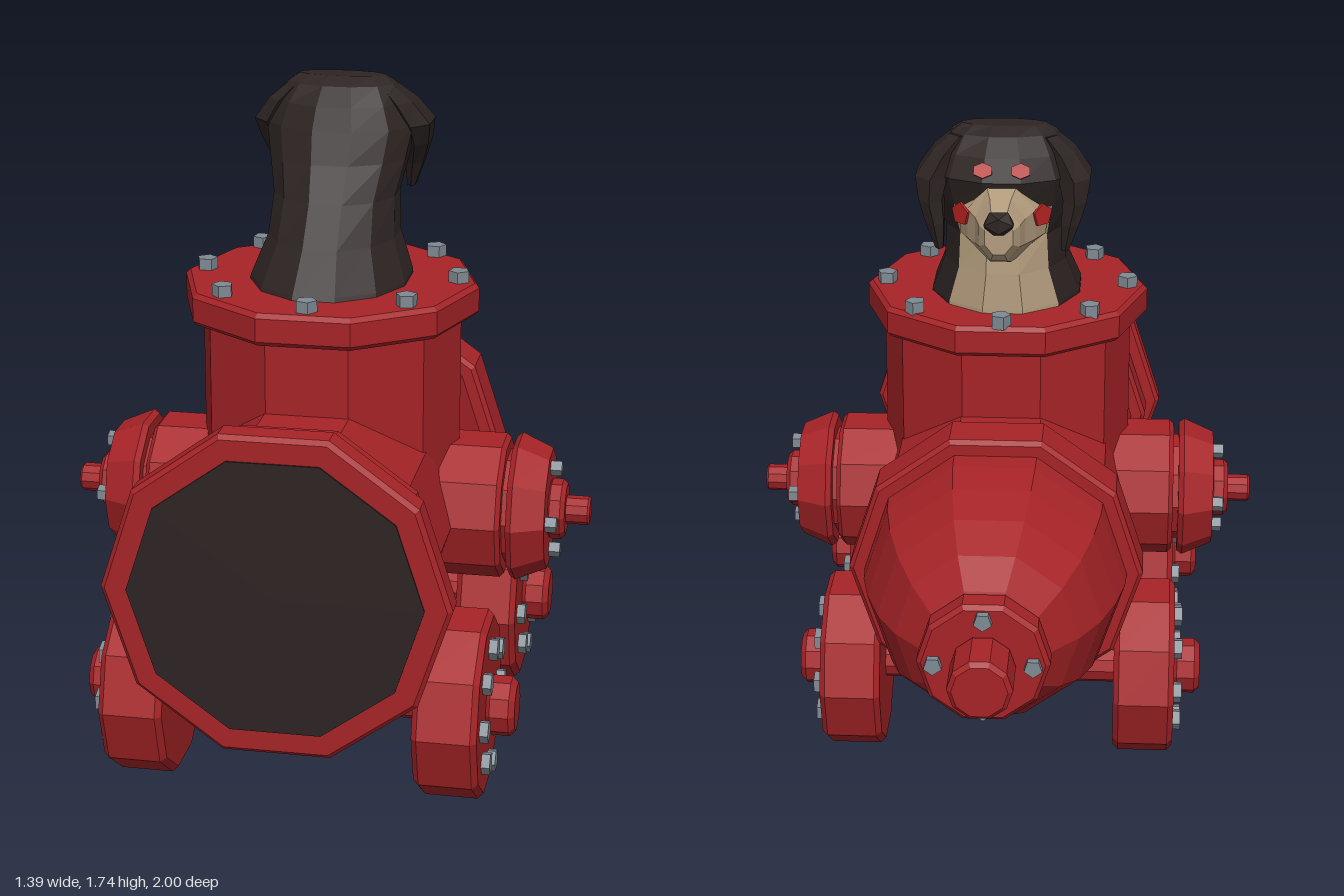
import * as THREE from 'three';

const mat = (name, color) => {
  const m = new THREE.MeshStandardMaterial({ color });
  m.name = name;
  return m;
};

export function createModel() {
  const red = mat('hydrant red', 0xa62327);
  const dark = mat('dark brown', 0x2d2423);
  const cream = mat('cream fur', 0xb39c7d);
  const steel = mat('bolt grey', 0x7f8a92);
  const spot = mat('spot red', 0xb52222);
  const model = new THREE.Group();

  const flat = (geo) => {
    const g = geo.index ? geo.toNonIndexed() : geo;
    g.computeVertexNormals();
    return g;
  };
  const add = (parent, name, geo, material) => {
    const mesh = new THREE.Mesh(flat(geo), material);
    mesh.name = name;
    parent.add(mesh);
    return mesh;
  };

  // Ten-sided turned part; profile is [radius, position along axis]
  const turned = (profile, axis, sides = 10) => {
    const pts = profile.map(([r, t]) => new THREE.Vector2(r, t));
    const g = new THREE.LatheGeometry(pts, sides, axis === 'x' ? 0 : Math.PI / 2);
    if (axis === 'x') g.rotateZ(-Math.PI / 2);
    if (axis === 'z') g.rotateX(Math.PI / 2);
    return g;
  };
  // Closed disc with bevelled rims
  const disc = (r, a, b, bevel = 0.012) =>
    [[0, a], [r - bevel, a], [r, a + bevel], [r, b - bevel], [r - bevel, b], [0, b]];

  // Circle of bolts around an axis, starting at position t
  const bolts = (parent, axis, count, radius, t, size, height, cy = 0, cz = 0) => {
    for (let i = 0; i < count; i++) {
      const a = (i / count) * Math.PI * 2;
      const u = Math.cos(a) * radius, v = Math.sin(a) * radius;
      const g = new THREE.CylinderGeometry(size, size, height, 5);
      if (axis === 'x') g.rotateZ(Math.PI / 2).translate(t, cy + v, cz + u);
      if (axis === 'y') g.rotateY(a).translate(u, t, cz + v);
      if (axis === 'z') g.rotateX(Math.PI / 2).translate(u, cy + v, t);
      add(parent, 'bolt', g, steel);
    }
  };

  // Barrel lying along z
  const barrel = new THREE.Group();
  barrel.name = 'barrel';
  barrel.position.y = 0.63;
  model.add(barrel);
  add(barrel, 'barrelBody', turned([[0.351, -0.3], [0.351, 0.85]], 'z'), red);
  add(barrel, 'frontFlange', turned(disc(0.437, 0.91, 0.995), 'z'), red);
  add(barrel, 'frontCollar', turned(disc(0.395, 0.79, 0.915), 'z'), red);
  add(barrel, 'rearFlange', turned(disc(0.394, -0.325, -0.18), 'z'), red);
  add(barrel, 'dome', turned([[0.13, -0.79], [0.17, -0.775], [0.235, -0.7], [0.29, -0.6],
    [0.327, -0.49], [0.347, -0.39], [0.352, -0.31]], 'z'), red);
  add(barrel, 'domeCap', turned(disc(0.168, -0.855, -0.775), 'z'), red);
  add(barrel, 'tip', turned(disc(0.082, -1, -0.85), 'z'), red);
  bolts(barrel, 'z', 4, 0.125, -0.86, 0.024, 0.03);
  add(barrel, 'mouth', turned([[0.37, 0.99], [0.37, 1], [0, 1]], 'z'), dark);

  // Upright neck with bolted rim
  const neck = new THREE.Group();
  neck.name = 'neck';
  neck.position.z = 0.268;
  model.add(neck);
  add(neck, 'neckPipe', turned([[0.344, 0.65], [0.344, 1.17]], 'y'), red);
  add(neck, 'neckRim', turned(disc(0.39, 1.155, 1.24), 'y'), red);
  bolts(neck, 'y', 8, 0.335, 1.252, 0.028, 0.036, 0, -0.012);

  for (const side of [1, -1]) {
    const label = side > 0 ? 'left' : 'right';
    // Side outlet
    const outlet = new THREE.Group();
    outlet.name = label + 'Outlet';
    outlet.position.set(0, 0.63, 0.26);
    outlet.rotation.y = side > 0 ? 0 : Math.PI;
    model.add(outlet);
    add(outlet, 'outletPipe', turned(disc(0.192, 0.2, 0.475), 'x'), red);
    add(outlet, 'outletCap', turned([[0.15, 0.47], [0.15, 0.49], [0.185, 0.49], [0.196, 0.505],
      [0.16, 0.588], [0, 0.588]], 'x'), red);
    add(outlet, 'outletBoss', turned(disc(0.08, 0.58, 0.632), 'x'), red);
    add(outlet, 'outletNut', turned(disc(0.038, 0.625, 0.695, 0.006), 'x'), red);
    bolts(outlet, 'x', 4, 0.115, 0.6, 0.022, 0.035);

    // Wheels
    for (const z of [0.655, -0.09]) {
      const wheel = new THREE.Group();
      wheel.name = label + (z > 0 ? 'FrontWheel' : 'RearWheel');
      wheel.position.set(0, 0.236, z);
      wheel.rotation.y = side > 0 ? 0 : Math.PI;
      model.add(wheel);
      add(wheel, 'tyre', turned(disc(0.244, 0.32, 0.485, 0.015), 'x'), red);
      add(wheel, 'hub', turned(disc(0.077, 0.48, 0.558, 0.015), 'x'), red);
      bolts(wheel, 'x', 8, 0.156, 0.492, 0.03, 0.03);
    }
  }
  for (const z of [0.655, -0.09]) {
    add(model, 'axle', turned([[0.052, -0.34], [0.052, 0.34]], 'x').translate(0, 0.236, z), red);
  }

  // Loft of ellipses stacked along y: [y, centreX, halfWidth, zFront, zBack]
  const loft = (rings, n, pick = () => 0) => {
    const point = (i, j) => {
      const [y, cx, rx, z0, z1] = rings[i];
      const a = ((j + 0.5) / n) * Math.PI * 2;
      return [cx + rx * Math.cos(a), y, (z0 + z1) / 2 + ((z1 - z0) / 2) * Math.sin(a)];
    };
    const lists = [[], []];
    const top = rings.length - 1;
    const centre = (i) => [rings[i][1], rings[i][0], (rings[i][3] + rings[i][4]) / 2];
    for (let j = 0; j < n; j++) {
      for (let i = 0; i < top; i++) {
        lists[pick(i, j)].push(...point(i, j), ...point(i + 1, j), ...point(i, j + 1),
          ...point(i, j + 1), ...point(i + 1, j), ...point(i + 1, j + 1));
      }
      lists[0].push(...centre(top), ...point(top, j + 1), ...point(top, j));
      lists[0].push(...centre(0), ...point(0, j), ...point(0, j + 1));
    }
    const g = new THREE.BufferGeometry();
    g.setAttribute('position', new THREE.Float32BufferAttribute(lists.flat(), 3));
    g.addGroup(0, lists[0].length / 3, 0);
    g.addGroup(lists[0].length / 3, lists[1].length / 3, 1);
    return g;
  };

  // Dog facing the rear
  const dog = new THREE.Group();
  dog.name = 'dog';
  model.add(dog);
  const torso = [
    [1.2, 0, 0.215, 0, 0.54], [1.25, 0, 0.21, 0, 0.51], [1.35, 0, 0.172, 0.005, 0.43],
    [1.45, 0, 0.165, 0.015, 0.355], [1.54, 0, 0.185, -0.02, 0.3], [1.62, 0, 0.2, -0.045, 0.265],
    [1.68, 0, 0.175, -0.02, 0.24], [1.725, 0, 0.145, 0.03, 0.195], [1.745, 0, 0.115, 0.07, 0.15],
  ];
  // Cream chest on the forward faces
  add(dog, 'torsoAndHead', loft(torso, 12, (i, j) => (i < 4 && j >= 7 && j <= 9 ? 1 : 0)), [dark, cream]);

  // Muzzle, lofted along -z
  const muzzle = loft([
    [-0.04, 0, 0.125, 1.4, 1.6], [0.04, 0, 0.098, 1.405, 1.615], [0.09, 0, 0.072, 1.415, 1.6],
    [0.14, 0, 0.058, 1.435, 1.585], [0.172, 0, 0.04, 1.465, 1.565],
  ], 8).rotateX(-Math.PI / 2);
  add(dog, 'muzzle', muzzle, cream);
  add(dog, 'nose', new THREE.IcosahedronGeometry(1, 0).scale(0.046, 0.038, 0.03)
    .translate(0, 1.548, -0.16), dark);

  for (const s of [1, -1]) {
    // Hanging ears
    add(dog, 'ear', loft([
      [1.43, 0.168 * s, 0.012, -0.02, 0.03], [1.5, 0.18 * s, 0.028, -0.035, 0.07],
      [1.56, 0.192 * s, 0.036, -0.035, 0.12], [1.62, 0.19 * s, 0.05, -0.025, 0.17],
      [1.68, 0.155 * s, 0.04, 0.01, 0.18], [1.72, 0.115 * s, 0.03, 0.05, 0.16],
    ], 6), dark);
    // Red brow and cheek marks
    const brow = add(dog, 'browMark', new THREE.CylinderGeometry(0.028, 0.028, 0.008, 6), spot);
    brow.scale.set(1, 1, 0.75);
    brow.position.set(0.05 * s, 1.652, -0.03);
    brow.rotation.set(-1.1, 0, 0);
    const cheek = add(dog, 'cheekMark', new THREE.CylinderGeometry(0.032, 0.032, 0.008, 5)
      .rotateX(-Math.PI / 2), spot);
    cheek.position.set(0.108 * s, 1.535, -0.034);
    cheek.rotation.y = -0.75 * s;
  }
  return model;
}
